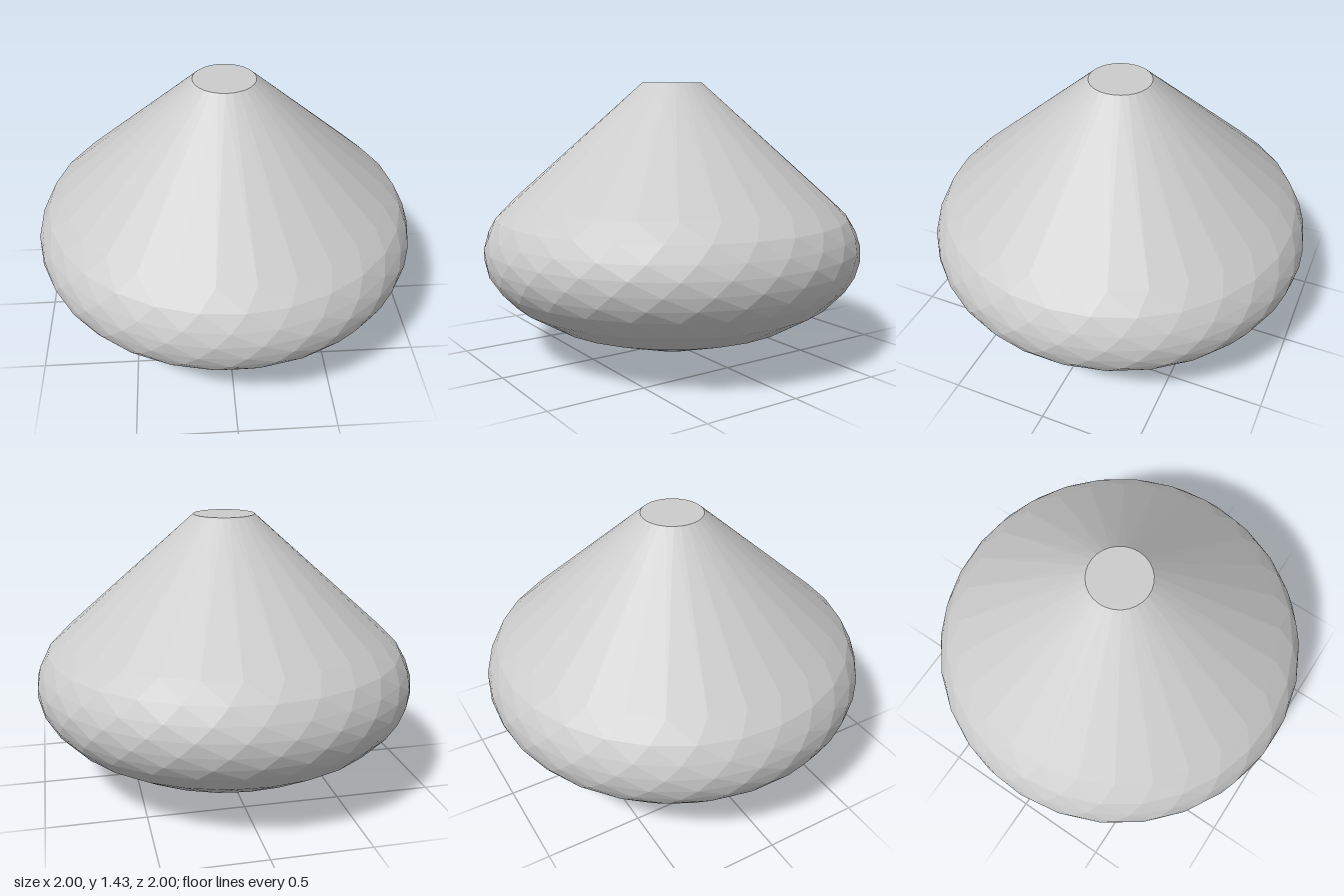
import * as THREE from 'three';
import { ConvexGeometry } from 'three/addons/geometries/ConvexGeometry.js';

// [radius, height] of each ring, from base to top
const PROFILE = [
  [0.16, 0], [0.68, 0.18], [0.86, 0.29], [0.95, 0.385], [0.985, 0.445], [1.003, 0.51],
  [1.003, 0.58], [0.982, 0.65], [0.938, 0.73], [0.85, 0.815], [0.16, 1.43],
];
const SIDES = 28;

export function createModel() {
  const group = new THREE.Group();
  group.name = 'facetedTop';

  // Rings are turned against each other so the hull breaks into irregular facets
  const points = [];
  PROFILE.forEach(([radius, y], ring) => {
    for (let i = 0; i < SIDES; i++) {
      const a = ((i + 0.5 + (ring % 3) / 3) / SIDES) * Math.PI * 2;
      points.push(new THREE.Vector3(radius * Math.sin(a), y, radius * Math.cos(a)));
    }
  });

  const body = new THREE.Mesh(
    new ConvexGeometry(points),
    new THREE.MeshStandardMaterial({ color: 0xcccccc, flatShading: true }),
  );
  body.name = 'body';
  group.add(body);
  return group;
}
